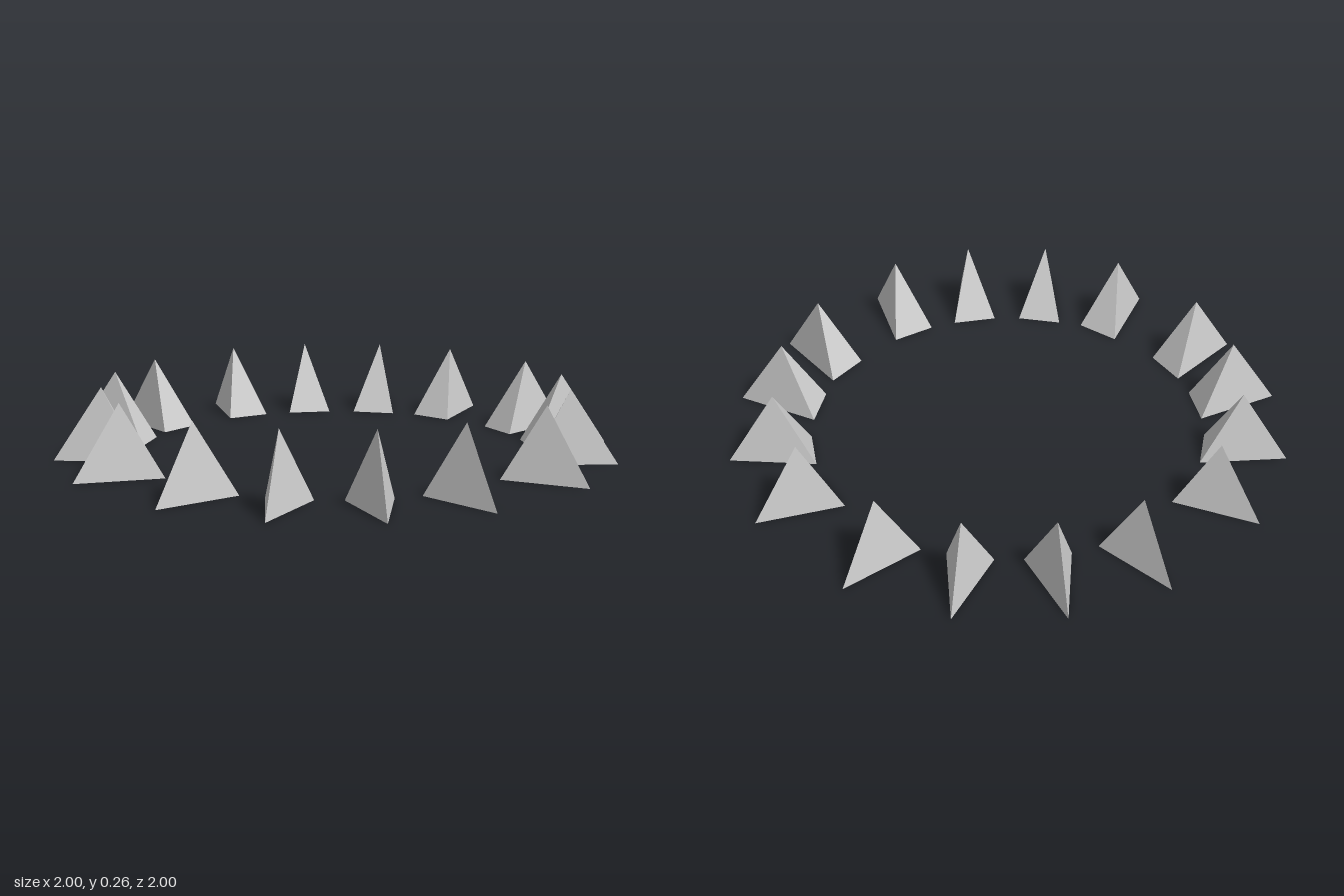
import * as THREE from 'three';

// One spike: a hollow three-sided pyramid, open below, its long tip pointing along +z
function spikeGeometry() {
  const apex = [0, 0.262, 0];
  const base = [[0, 0, 0.175], [0.0825, 0, -0.13], [-0.0825, 0, -0.13]];
  const points = [];
  base.forEach((corner, i) => points.push(...corner, ...base[(i + 1) % 3], ...apex));
  const geometry = new THREE.BufferGeometry();
  geometry.setAttribute('position', new THREE.Float32BufferAttribute(points, 3));
  geometry.computeVertexNormals();
  return geometry;
}

export function createModel() {
  const model = new THREE.Group();
  model.name = 'spikeRing';
  const geometry = spikeGeometry();
  const material = new THREE.MeshStandardMaterial({
    color: 0xcccccc, flatShading: true, side: THREE.DoubleSide,
  });

  // Apex x, apex z and heading in degrees for the four spikes of one quarter
  const quarterSpikes = [
    [-0.2, 0.825, -13.2],
    [0.2, 0.825, 7.7],
    [0.48, 0.7, 33.9],
    [0.7, 0.48, 56.1],
  ];

  // The quarter repeats four times around the ring
  for (let q = 0; q < 4; q++) {
    const quarter = new THREE.Group();
    quarter.name = `spikeQuarter${q + 1}`;
    quarter.rotation.y = q * Math.PI / 2;
    quarterSpikes.forEach(([x, z, heading], i) => {
      const spike = new THREE.Mesh(geometry, material);
      spike.name = `spike${q * 4 + i + 1}`;
      spike.position.set(x, 0, z);
      spike.rotation.y = THREE.MathUtils.degToRad(heading);
      quarter.add(spike);
    });
    model.add(quarter);
  }
  return model;
}
